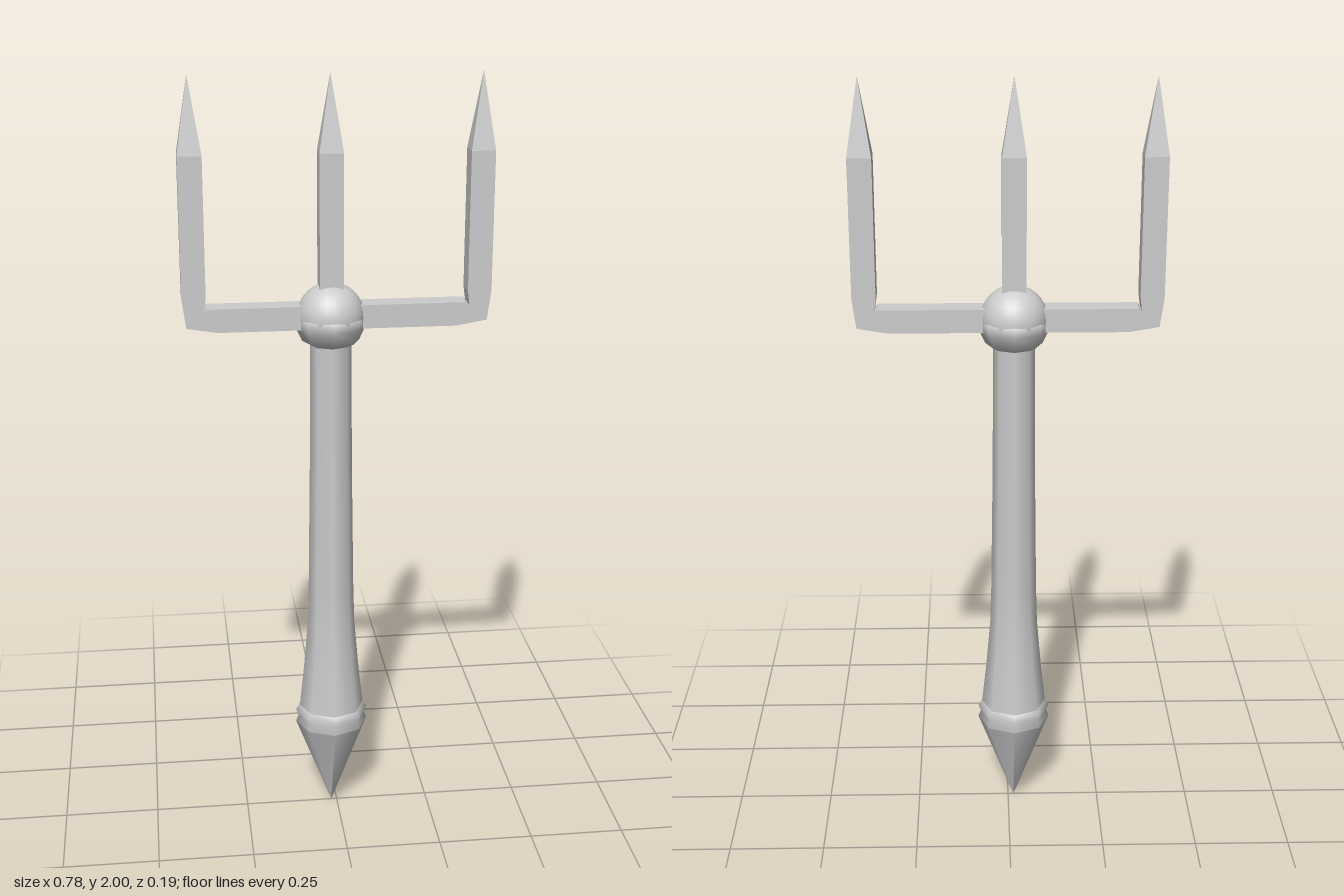
import * as THREE from 'three';

const AXIS_X = -0.015; // the shaft sits slightly off the middle of the fork
const HALF = 0.03; // half thickness of the square fork bars
const SHOULDER = 1.81; // where the spear points begin
const TOP = 2;

const smooth = new THREE.MeshStandardMaterial({ color: 0xcccccc, side: THREE.DoubleSide });
const flat = new THREE.MeshStandardMaterial({ color: 0xcccccc, flatShading: true });

function add(group, name, geometry, material) {
  const mesh = new THREE.Mesh(geometry, material);
  mesh.name = name;
  group.add(mesh);
  return mesh;
}

// Profile of [radius, y] pairs turned around the shaft axis
function turned(profile, sides) {
  const points = profile.map(([r, y]) => new THREE.Vector2(r, y));
  return new THREE.LatheGeometry(points, sides).translate(AXIS_X, 0, 0);
}

// Four-sided spear point on top of a tine
function addPoint(group, name, x) {
  const h = TOP - SHOULDER;
  const cone = new THREE.ConeGeometry(HALF * Math.SQRT2, h, 4, 1, true).rotateY(Math.PI / 4);
  add(group, name, cone.translate(x, SHOULDER + h / 2, 0), flat);
}

export function createModel() {
  const model = new THREE.Group();
  model.name = 'trident';

  // Eight-sided handle, flaring towards the bottom
  add(model, 'shaft', turned([
    [0.088, 0.29], [0.075, 0.41], [0.063, 0.55], [0.06, 0.65], [0.055, 1.0], [0.053, 1.34],
  ], 8), smooth);

  // Double collar and spiked foot
  add(model, 'collar', turned([
    [0.088, 0.25], [0.097, 0.255], [0.09, 0.273], [0.097, 0.29], [0.086, 0.305],
  ], 8), smooth);
  add(model, 'footSpike', turned([[0, 0], [0.097, 0.255]], 8), smooth);

  // Round knob seated in an eight-sided cup
  const ball = new THREE.SphereGeometry(0.085, 28, 16).translate(AXIS_X, 1.4, 0);
  add(model, 'knob', ball, smooth);
  add(model, 'knobCup', turned([
    [0.05, 1.325], [0.073, 1.337], [0.09, 1.375], [0.091, 1.398], [0.08, 1.402],
  ], 8), smooth);

  // Crossbar and outer tines in one U-shaped outline with clipped corners
  const outline = [
    [0.3, 1.372], [0.378, 1.385], [0.388, 1.46], [0.388, SHOULDER],
    [0.328, SHOULDER], [0.328, 1.46], [0.333, 1.425], [0.325, 1.432],
  ];
  const mirrored = outline.map(([x, y]) => [-x, y]).reverse();
  const shape = new THREE.Shape([...outline, ...mirrored].map(([x, y]) => new THREE.Vector2(x, y)));
  const fork = new THREE.ExtrudeGeometry(shape, { depth: 2 * HALF, bevelEnabled: false });
  add(model, 'fork', fork.translate(0, 0, -HALF), flat);

  // Middle tine
  const tineBase = 1.42;
  const tine = new THREE.BoxGeometry(2 * HALF, SHOULDER - tineBase, 2 * HALF);
  add(model, 'middleTine', tine.translate(AXIS_X, (SHOULDER + tineBase) / 2, 0), flat);

  addPoint(model, 'leftPoint', 0.358);
  addPoint(model, 'middlePoint', AXIS_X);
  addPoint(model, 'rightPoint', -0.358);

  return model;
}
